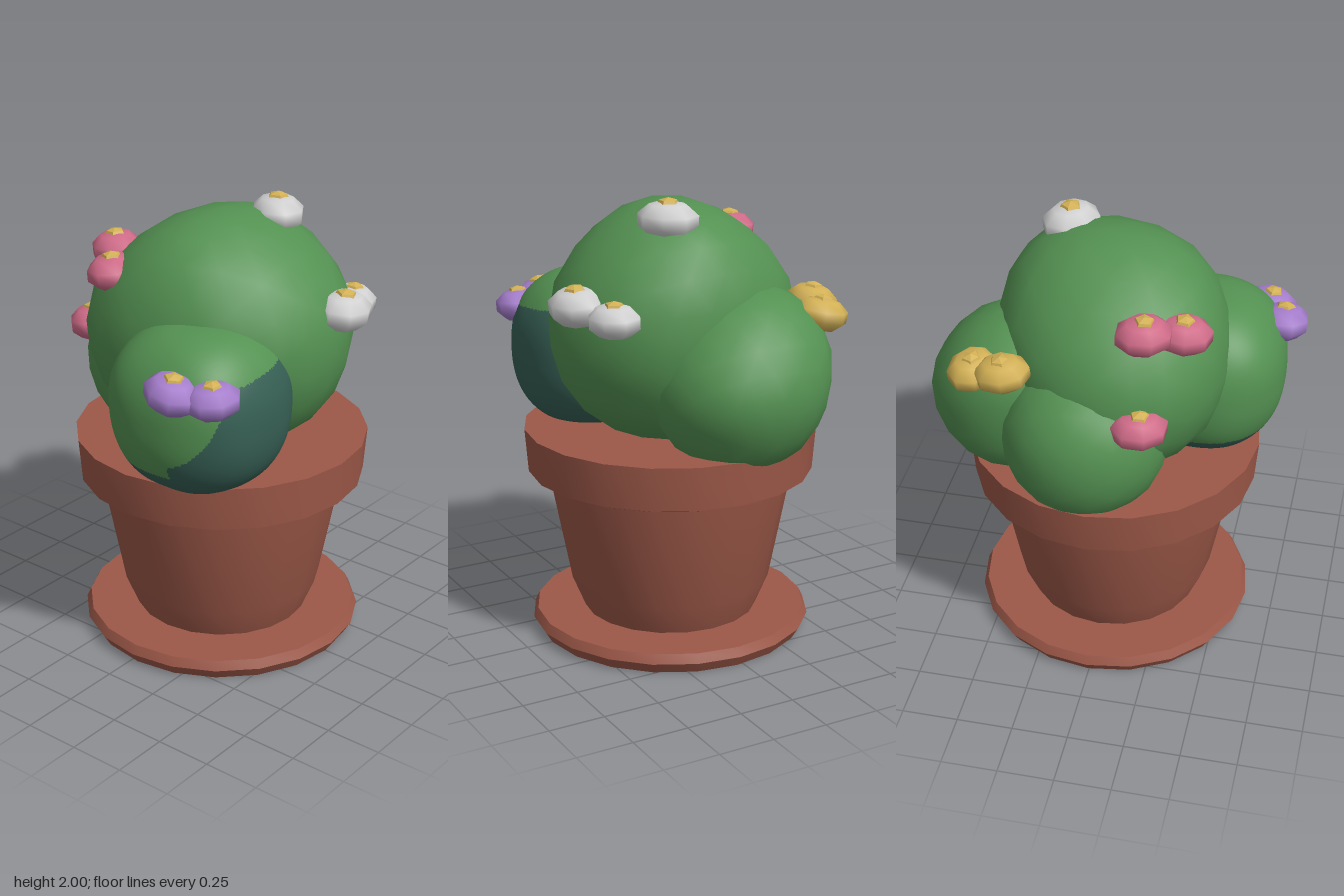
import * as THREE from 'three';
import { mergeVertices, toCreasedNormals } from 'three/addons/utils/BufferGeometryUtils.js';

const material = (name, color) => {
  const m = new THREE.MeshStandardMaterial({ color });
  m.name = name;
  return m;
};

export function createModel() {
  const model = new THREE.Group();
  model.name = 'pottedCactus';

  const terracotta = material('terracotta', 0x9c5848);
  const green = material('cactus green', 0x549152);
  const teal = material('dark teal', 0x365f54);
  const white = material('white petal', 0xd0d0d0);
  const pink = material('pink petal', 0xcf6b88);
  const purple = material('purple petal', 0xa57dcc);
  const yellow = material('yellow', 0xd2b055);

  const add = (name, geometry, mat, parent = model) => {
    const mesh = new THREE.Mesh(geometry, mat);
    mesh.name = name;
    parent.add(mesh);
    return mesh;
  };

  // Saucer and pot: turned profiles with sharp rings
  const turned = (name, profile) => {
    const points = profile.map(([r, y]) => new THREE.Vector2(r, y));
    const geometry = toCreasedNormals(new THREE.LatheGeometry(points, 20), 0.4);
    add(name, geometry, terracotta).position.set(0.005, 0, 0.03);
  };
  turned('saucer', [[0, 0], [0.6, 0], [0.63, 0.05], [0.61, 0.09], [0, 0.09]]);
  turned('pot', [
    [0, 0.085], [0.39, 0.085], [0.45, 0.23], [0.545, 0.725], [0.57, 0.725],
    [0.637, 0.752], [0.652, 0.947], [0, 0.947],
  ]);

  // Rounded lobe: a sphere pushed toward a superellipsoid.
  // taper narrows the top in x and z, lean shifts the top, skew slides the front sideways.
  const lobeGeometry = (centre, radii, power, detail, { taper = [0, 0], lean = [0, 0], skew = 0 } = {}) => {
    let geometry = new THREE.IcosahedronGeometry(1, detail);
    geometry.deleteAttribute('uv');
    geometry.deleteAttribute('normal');
    geometry = mergeVertices(geometry, 1e-4);
    const p = geometry.attributes.position;
    const v = new THREE.Vector3();
    for (let i = 0; i < p.count; i++) {
      v.fromBufferAttribute(p, i);
      const s = [v.x, v.y, v.z].reduce((sum, c) => sum + Math.abs(c) ** power, 0) ** (-1 / power);
      const lump = 1 + 0.012 * Math.sin(5 * v.x + 2) * Math.sin(4 * v.y) * Math.cos(5 * v.z);
      v.multiplyScalar(s * lump);
      const up = Math.max(0, v.y);
      p.setXYZ(
        i,
        centre[0] + v.x * radii[0] * (1 - taper[0] * up * up) + lean[0] * up + skew * v.z,
        centre[1] + v.y * radii[1],
        centre[2] + v.z * radii[2] * (1 - taper[1] * up * up) + lean[1] * up,
      );
    }
    geometry.computeVertexNormals();
    return geometry;
  };
  add('mainCactus', lobeGeometry([0.005, 1.42, 0.015], [0.515, 0.54, 0.575], 2.07, 3,
    { taper: [-0.12, 0.25], lean: [0.015, 0.02], skew: 0.05 }), green);
  add('leftLobe', lobeGeometry([0.42, 1.23, -0.08], [0.375, 0.395, 0.39], 2.07, 3,
    { lean: [-0.06, -0.08] }), green);
  add('backLobe', lobeGeometry([0.06, 1.18, -0.32], [0.36, 0.37, 0.365], 2.1, 3), green);

  // Right lobe, with a dark patch on its front and underside
  const patched = lobeGeometry([-0.365, 1.235, 0.21], [0.36, 0.37, 0.37], 2.35, 34);
  const faces = [[], []];
  const index = patched.index.array;
  const pos = patched.attributes.position;
  for (let i = 0; i < index.length; i += 3) {
    const tri = [index[i], index[i + 1], index[i + 2]];
    const mid = (get) => tri.reduce((sum, k) => sum + pos[get](k), 0) / 3;
    const x = mid('getX'), y = mid('getY'), z = mid('getZ');
    const front = z > 0.3 && y < 1.45 + 0.1 * (x + 0.3) && x > -0.7 + 0.4 * (y - 1.08);
    faces[front || y < 1.02 ? 1 : 0].push(...tri);
  }
  patched.setIndex([...faces[0], ...faces[1]]);
  patched.addGroup(0, faces[0].length, 0);
  patched.addGroup(faces[0].length, faces[1].length, 1);
  add('rightLobe', patched, [green, teal]);

  // Flowers: plump oval blossom with a small five-sided centre
  const blossom = new THREE.SphereGeometry(1, 8, 5).scale(0.138, 0.084, 0.12);
  const centre = new THREE.SphereGeometry(1, 5, 4).scale(0.056, 0.042, 0.056).toNonIndexed();
  centre.computeVertexNormals();
  // petal material, position, size, turn of the long axis
  const flowers = [
    [white, 0.225, 1.905, 0.16, 1, 0.9], [white, 0.165, 1.57, 0.56, 1, 0.1], [white, 0.35, 1.54, 0.48, 0.88, 0.7],
    [pink, -0.345, 1.7, -0.285, 0.93, 0.2], [pink, -0.2, 1.745, -0.39, 0.93, 0.5], [pink, -0.21, 1.375, -0.525, 0.93, 0.4],
    [yellow, 0.38, 1.52, -0.46, 0.9, 0.2], [yellow, 0.515, 1.495, -0.42, 0.9, 1.2],
    [purple, -0.69, 1.415, 0.325, 0.95, 1.3], [purple, -0.615, 1.4, 0.475, 0.9, -0.5],
  ];
  flowers.forEach(([petal, x, y, z, size, turn], i) => {
    const flower = new THREE.Group();
    flower.name = 'flower' + (i + 1);
    flower.position.set(x, y, z);
    flower.scale.setScalar(size);
    // Lean slightly away from the middle of the plant
    flower.rotation.set(z * 0.2, turn, -x * 0.2);
    add('petals', blossom, petal, flower);
    add('flowerCentre', centre, yellow, flower).position.set(0, 0.056, 0);
    model.add(flower);
  });

  return model;
}
